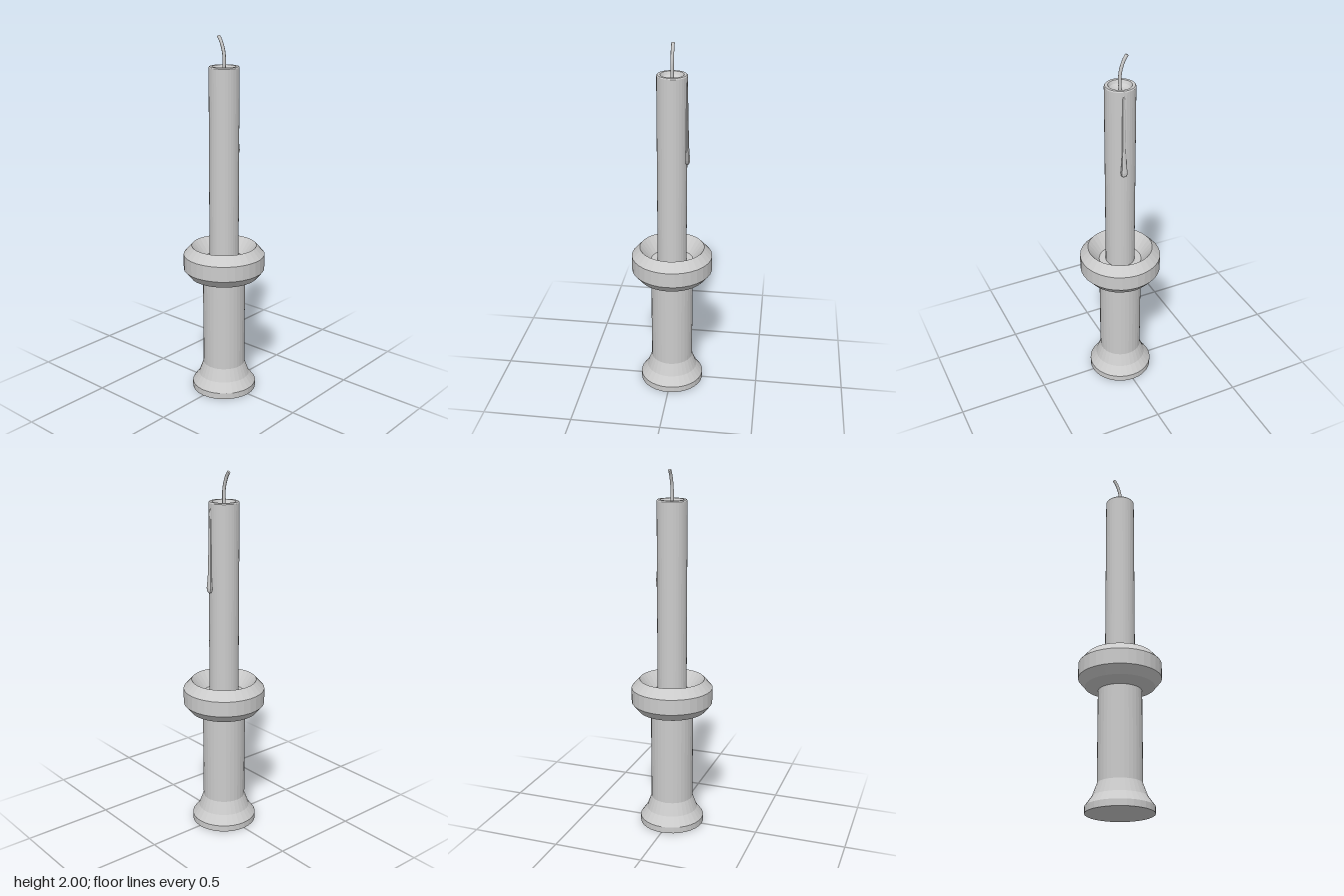
import * as THREE from 'three';

const SIDES = 32;

// Faceted turned part from [radius, height] pairs, listed from bottom outside to top inside
function turned(name, profile, sides = SIDES) {
  const points = profile.map(([r, y]) => new THREE.Vector2(r, y));
  const mesh = new THREE.Mesh(
    new THREE.LatheGeometry(points, sides),
    new THREE.MeshStandardMaterial({ color: 0xcccccc, flatShading: true })
  );
  mesh.name = name;
  return mesh;
}

export function createModel() {
  const model = new THREE.Group();
  model.name = 'candlestick';

  // Holder: flared foot, straight stem and bevelled cup with a sunken floor
  model.add(turned('holder', [
    [0, 0], [0.18, 0], [0.18, 0.035], [0.144, 0.085], [0.118, 0.155],
    [0.118, 0.655], [0.188, 0.68], [0.225, 0.725], [0.225, 0.81],
    [0.18, 0.86], [0.118, 0.78], [0, 0.78],
  ]));

  // Candle with a softened rim and a melted hollow at the top
  model.add(turned('candle', [
    [0.081, 0.775], [0.081, 1.836], [0.077, 1.842], [0.062, 1.842],
    [0.053, 1.826], [0.036, 1.814], [0, 1.81],
  ]));

  // Bent wick, curving towards the back
  const wickPath = new THREE.CatmullRomCurve3([
    [0, 1.80, 0], [0, 1.90, 0], [0, 1.945, -0.011], [0, 1.975, -0.024], [0, 1.995, -0.038],
  ].map((p) => new THREE.Vector3(...p)));
  const wick = new THREE.Group();
  wick.name = 'wick';
  const material = new THREE.MeshStandardMaterial({ color: 0xcccccc });
  wick.add(new THREE.Mesh(new THREE.TubeGeometry(wickPath, 16, 0.009, 8), material));
  const tip = new THREE.Mesh(new THREE.CircleGeometry(0.009, 8), material);
  tip.position.copy(wickPath.getPoint(1));
  tip.lookAt(tip.position.clone().add(wickPath.getTangent(1)));
  wick.add(tip);
  model.add(wick);

  // Wax drip running down the left side, swelling to a drop
  const drip = turned('waxDrip', [
    [0, 0], [0.011, 0.004], [0.018, 0.014], [0.0195, 0.028], [0.017, 0.05],
    [0.013, 0.1], [0.011, 0.2], [0.009, 0.34], [0.006, 0.44], [0, 0.47],
  ], 10);
  drip.scale.x = 0.75;
  drip.position.set(0.084, 1.36, 0.017);
  drip.rotation.z = 0.015;
  model.add(drip);

  return model;
}
